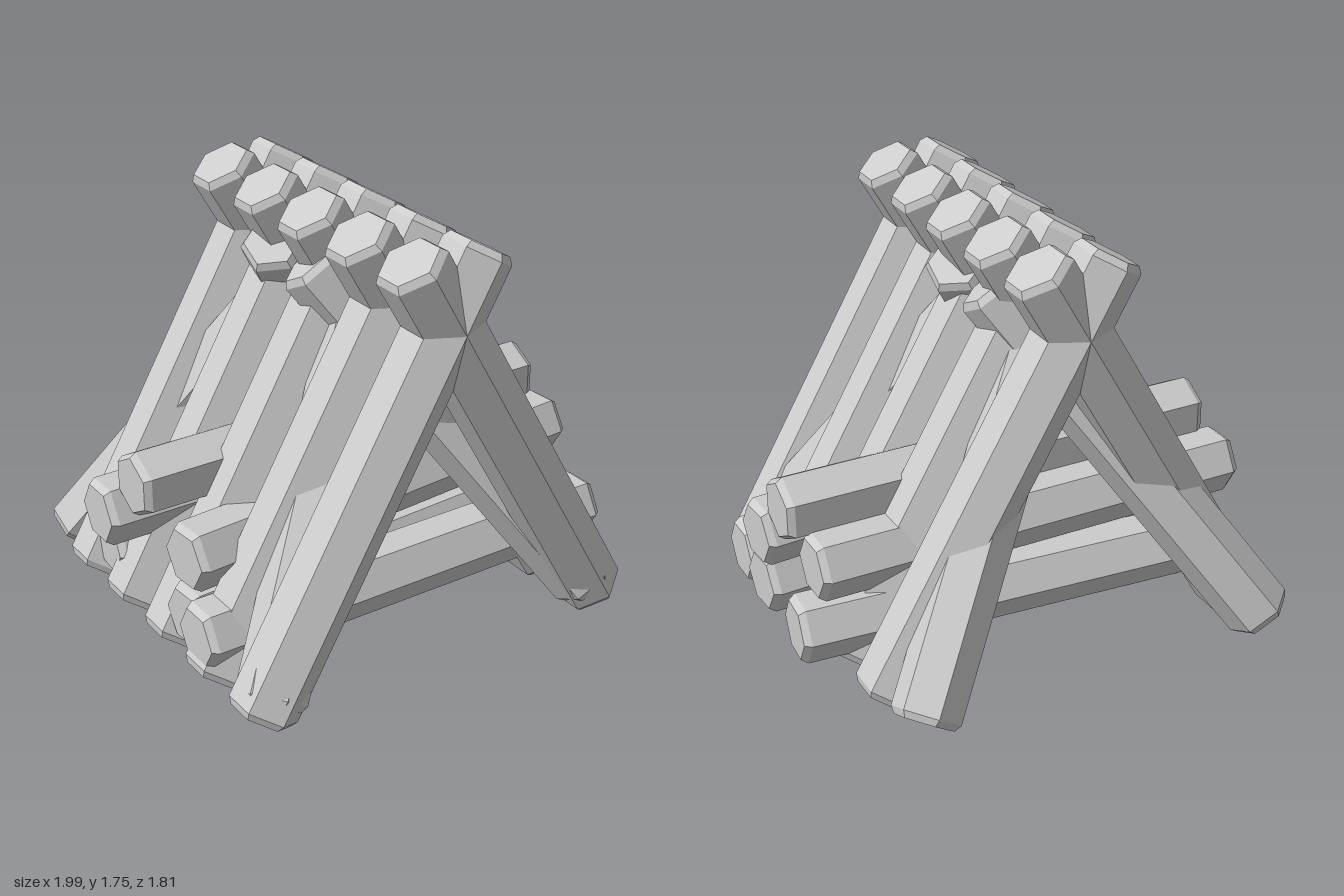
import * as THREE from 'three';

const wood = new THREE.MeshStandardMaterial({ color: 0xcccccc, flatShading: true });
wood.name = 'plain grey';

// Hexagonal log with chamfered ends from a to b; roll turns its corners about the axis
function log(name, a, b, roll = 0) {
  const start = new THREE.Vector3(...a), end = new THREE.Vector3(...b);
  const axis = end.clone().sub(start);
  const half = axis.length() / 2, r = 0.139, inset = 0.02, bevel = 0.028;
  axis.normalize();
  const profile = [[0, -half], [r - inset, -half], [r, bevel - half],
    [r, half - bevel], [r - inset, half], [0, half]].map(p => new THREE.Vector2(...p));
  const mesh = new THREE.Mesh(new THREE.LatheGeometry(profile, 6).toNonIndexed(), wood);
  mesh.geometry.computeVertexNormals();
  mesh.name = name;

  // one corner starts level with the ground, then rolls
  const level = axis.clone().cross(new THREE.Vector3(0, 1, 0)).normalize();
  const corner = level.applyAxisAngle(axis, -THREE.MathUtils.degToRad(roll));
  const across = axis.clone().cross(corner);
  mesh.quaternion.setFromRotationMatrix(new THREE.Matrix4().makeBasis(across, axis, corner));
  mesh.position.copy(start).add(end).multiplyScalar(0.5);
  return mesh;
}

export function createModel() {
  const model = new THREE.Group();
  model.name = 'logShelter';
  const ridgeX = -0.06;

  // Five crossed pairs of frame logs
  const frames = new THREE.Group();
  frames.name = 'frameLogs';
  for (const z of [0.77, 0.45, 0.13, -0.19, -0.51]) {
    for (const s of [-1, 1]) {
      frames.add(log('frameLog',
        [ridgeX + s * 0.795, 0.052, z], [ridgeX - s * 0.157, 1.7, z]));
    }
  }

  // Four corner braces leaning in towards the ridge
  const braces = new THREE.Group();
  braces.name = 'cornerBraces';
  for (const sx of [-1, 1]) {
    for (const sz of [-1, 1]) {
      braces.add(log('cornerBrace',
        [ridgeX + sx * 0.765, 0.09, sz * 0.785], [ridgeX - sx * 0.15, 1.49, sz * 0.13],
        15 * sx * sz));
    }
  }

  // Stack of cross logs: three below, two above, one on top
  const stack = new THREE.Group();
  stack.name = 'stackedLogs';
  const low = 0.237, mid = 0.492;
  stack.add(
    log('lowerFrontLog', [-0.935, low, 0.445], [0.95, low, 0.445]),
    log('lowerMiddleLog', [-0.9, low, 0.3], [0.96, low, 0.19]),
    log('lowerBackLog', [-0.89, low, -0.345], [0.975, low, -0.2]),
    log('middleFrontLog', [-0.89, mid, 0.295], [0.985, mid, 0.145]),
    log('middleBackLog', [-1, mid, -0.195], [0.89, mid, -0.195]),
    log('topLog', [-0.935, 0.675, -0.02], [0.95, 0.675, -0.02], 30));

  model.add(frames, braces, stack);
  return model;
}
